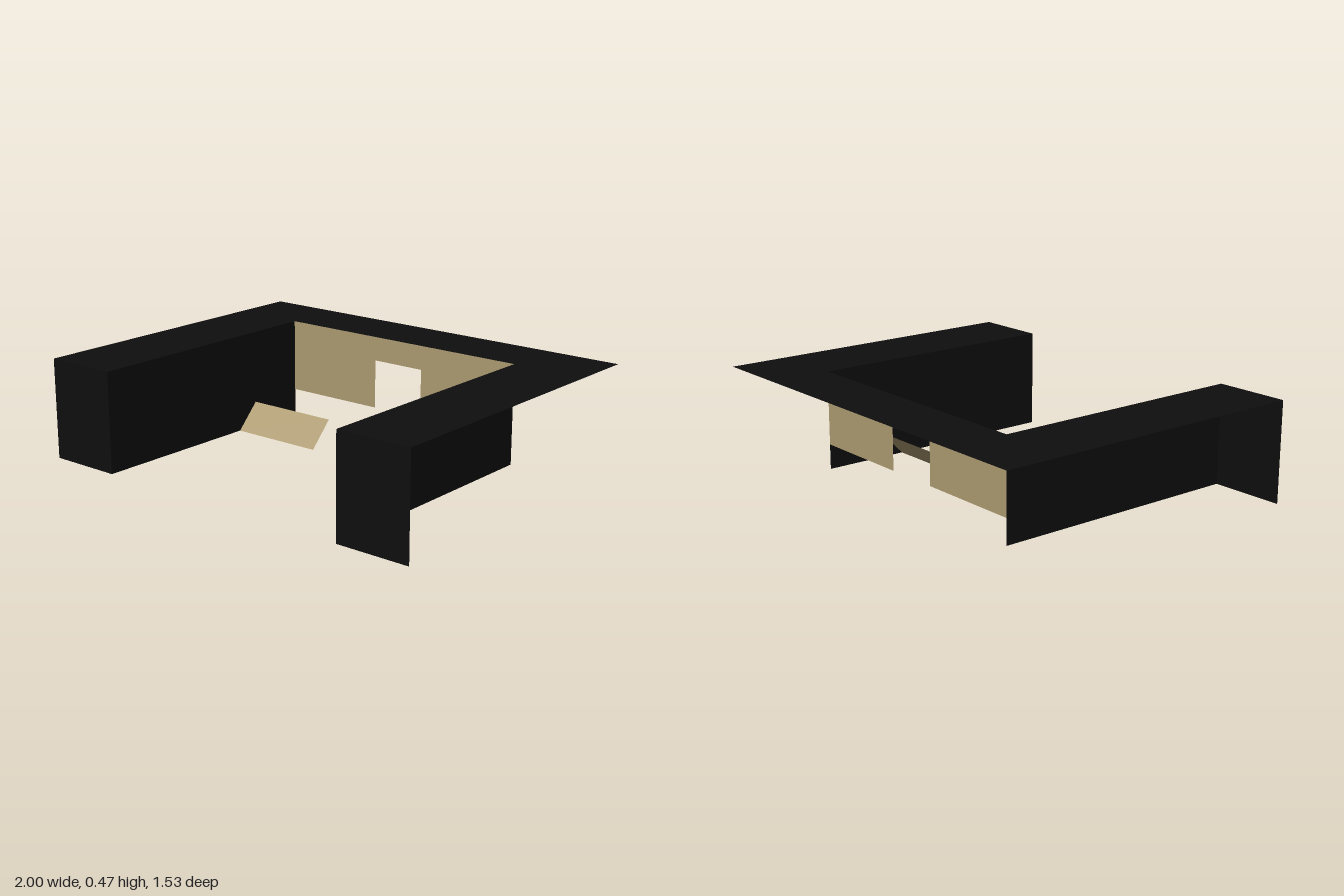
import * as THREE from 'three';

// Main dimensions
const H = 0.47, OUT = 1, IN = 0.645, FRONT = 0.765, BACK = -0.765, WALL = -0.473;

const black = new THREE.MeshStandardMaterial({ color: 0x0e0e0e, side: THREE.DoubleSide });
black.name = 'black';
const tan = new THREE.MeshStandardMaterial({ color: 0xad9b71, side: THREE.DoubleSide });
tan.name = 'tan';

function flatShape(points) {
  return new THREE.ShapeGeometry(new THREE.Shape(points.map(([x, y]) => new THREE.Vector2(x, y))));
}

export function createModel() {
  const model = new THREE.Group();
  model.name = 'facade';
  const add = (name, geometry, material) => {
    const mesh = new THREE.Mesh(geometry, material);
    mesh.name = name;
    model.add(mesh);
    return mesh;
  };

  // U-shaped roof sheet, drawn as (x, -z) and laid flat
  const roof = flatShape([
    [-OUT, -FRONT], [-IN, -FRONT], [-IN, -WALL], [IN, -WALL],
    [IN, -FRONT], [OUT, -FRONT], [OUT, -BACK], [-OUT, -BACK],
  ]);
  add('roof', roof.rotateX(-Math.PI / 2).translate(0, H, 0), black);

  // Raised back wall with a doorway
  const wall = flatShape([
    [-IN, 0.12], [-0.135, 0.12], [-0.135, 0.355], [0.135, 0.355],
    [0.135, 0.12], [IN, 0.12], [IN, H], [-IN, H],
  ]);
  add('backWall', wall.translate(0, 0, WALL), tan);

  for (const [side, s] of [['left', 1], ['right', -1]]) {
    // Inner side wall, facing the courtyard
    const depth = FRONT - WALL;
    const inner = new THREE.PlaneGeometry(depth, H).rotateY(-s * Math.PI / 2);
    add(side + 'InnerWall', inner.translate(s * IN, H / 2, (FRONT + WALL) / 2), black);

    // Front end of the wing
    const end = new THREE.PlaneGeometry(OUT - IN, H);
    add(side + 'FrontWall', end.translate(s * (OUT + IN) / 2, H / 2, FRONT), black);

    // Sloping ramp panel, high at the back
    const rise = 0.12, run = 0.115;
    const ramp = new THREE.PlaneGeometry(IN - 0.18, Math.hypot(rise, run)).rotateX(-Math.atan2(run, rise));
    add(side + 'Ramp', ramp.translate(s * (IN + 0.18) / 2, rise / 2, -0.122), tan);
  }
  return model;
}
